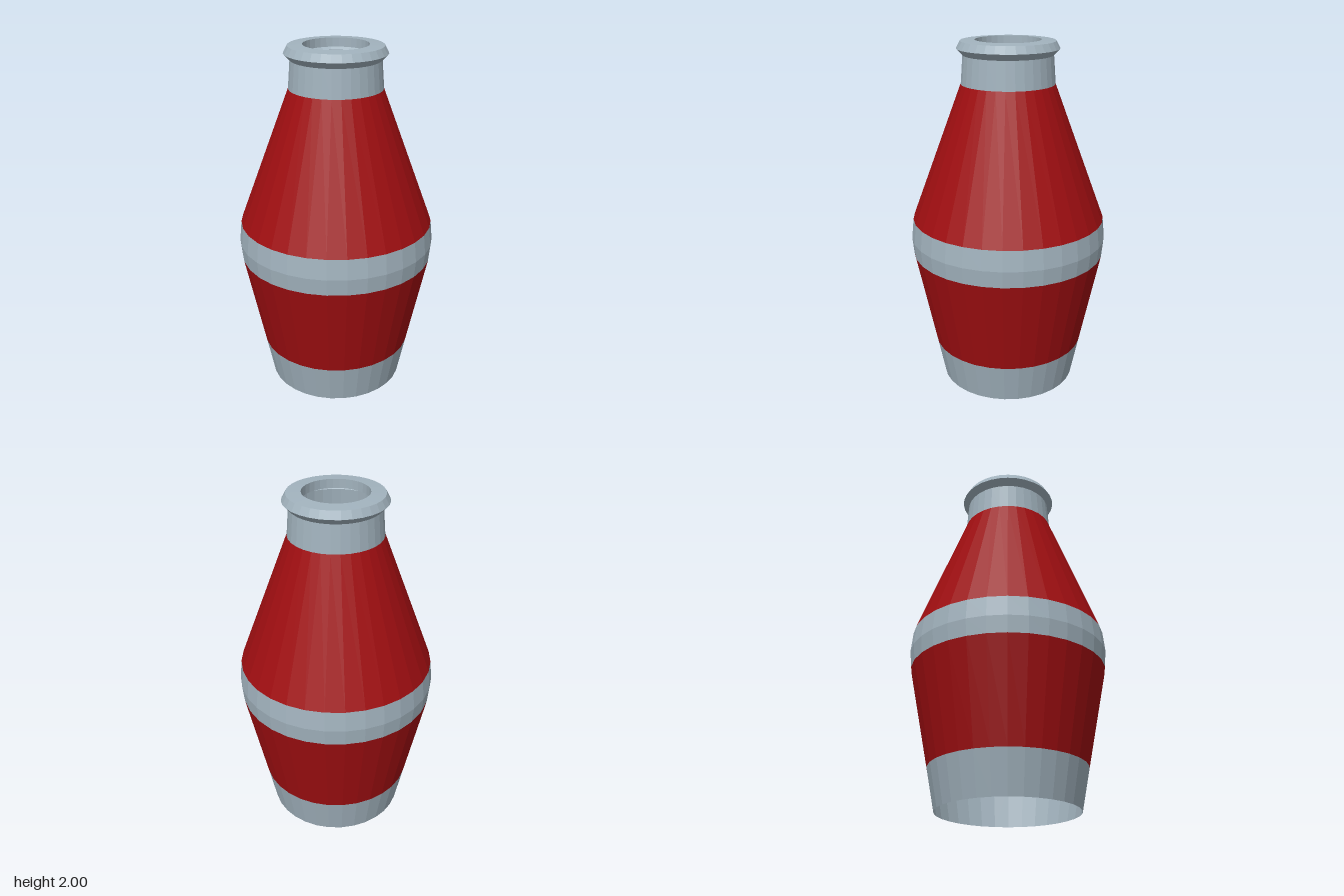
import * as THREE from 'three';

const SEGMENTS = 32;

export function createModel() {
  const group = new THREE.Group();
  group.name = 'bottle';

  const grey = new THREE.MeshStandardMaterial({ color: 0xa2b3be, flatShading: true, side: THREE.DoubleSide });
  grey.name = 'pale grey';
  const red = new THREE.MeshStandardMaterial({ color: 0xa00e11, flatShading: true, side: THREE.DoubleSide });
  red.name = 'deep red';

  // Each band is an open ring of the thin shell, given as [radius, height] points
  function band(name, material, points) {
    const profile = points.map(([r, y]) => new THREE.Vector2(r, y));
    const mesh = new THREE.Mesh(new THREE.LatheGeometry(profile, SEGMENTS), material);
    mesh.name = name;
    group.add(mesh);
  }

  // Body, open at the bottom
  band('baseBand', grey, [[0.392, 0], [0.438, 0.232]]);
  band('lowerBody', red, [[0.438, 0.232], [0.551, 0.79]]);
  band('bellyBand', grey, [[0.551, 0.79], [0.56, 0.885], [0.548, 1.0]]);
  band('shoulder', red, [[0.548, 1.0], [0.26, 1.765]]);
  band('neck', grey, [[0.26, 1.765], [0.248, 1.92]]);

  // Flared lip, flat rim and the short wall of the mouth
  band('lip', grey, [[0.248, 1.92], [0.282, 1.955], [0.26, 1.995]]);
  band('rim', grey, [[0.26, 1.995], [0.18, 2.0]]);
  band('mouthWall', grey, [[0.18, 2.0], [0.18, 1.95]]);

  return group;
}
